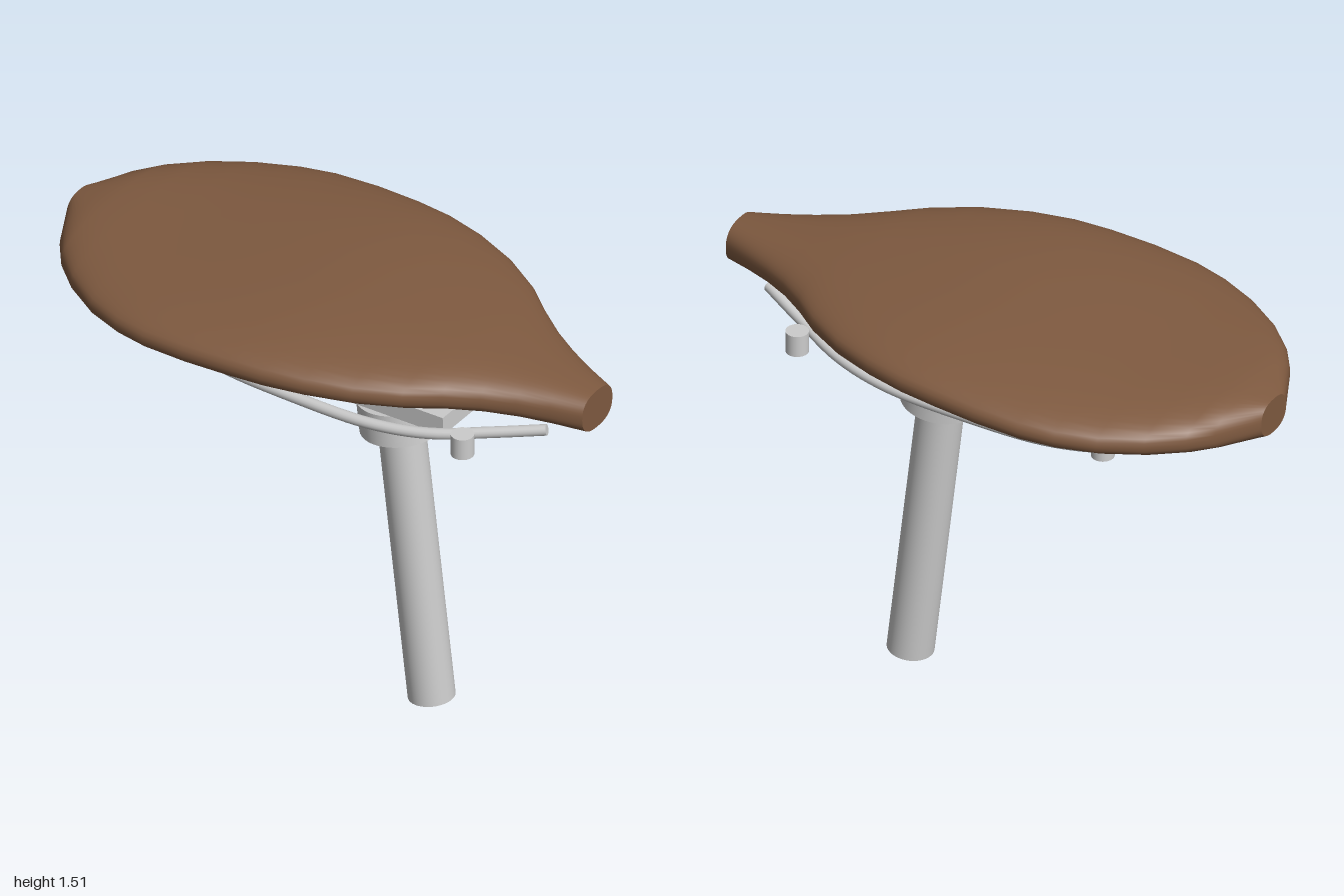
import * as THREE from 'three';

const leather = new THREE.MeshStandardMaterial({ color: 0x7f5a40 });
leather.name = 'brown leather';
const metal = new THREE.MeshStandardMaterial({ color: 0xcccccc });
metal.name = 'light metal';

// Cushion stations along x: x, half width, bottom y, top y
const STATIONS = [
  [-1, 0.075, 1.31, 1.435], [-0.92, 0.23, 1.307, 1.455], [-0.86, 0.31, 1.306, 1.463],
  [-0.76, 0.4, 1.305, 1.47], [-0.63, 0.48, 1.306, 1.475], [-0.5, 0.53, 1.309, 1.483],
  [-0.38, 0.555, 1.313, 1.491], [-0.22, 0.562, 1.318, 1.501], [-0.06, 0.555, 1.323, 1.508],
  [0.07, 0.542, 1.326, 1.509], [0.21, 0.51, 1.328, 1.505], [0.36, 0.455, 1.327, 1.496],
  [0.5, 0.375, 1.323, 1.486], [0.6, 0.295, 1.319, 1.477], [0.7, 0.225, 1.313, 1.465],
  [0.8, 0.17, 1.306, 1.453], [0.9, 0.125, 1.298, 1.441], [1, 0.085, 1.29, 1.43],
];

// Rounded cross-section lofted through the stations, closed by flat ends
function cushionGeometry(sides = 48) {
  const pos = [], index = [];
  const power = (v) => Math.sign(v) * Math.abs(v) ** (2 / 2.5);
  const ring = ([x, half, low, high]) => {
    const start = pos.length / 3;
    for (let j = 0; j < sides; j++) {
      const a = (j / sides) * Math.PI * 2;
      pos.push(x, (low + high) / 2 + ((high - low) / 2) * power(Math.sin(a)), half * power(Math.cos(a)));
    }
    return start;
  };
  const starts = STATIONS.map(ring);
  for (let i = 0; i < starts.length - 1; i++) {
    for (let j = 0; j < sides; j++) {
      const k = (j + 1) % sides;
      const a = starts[i] + j, b = starts[i] + k, c = starts[i + 1] + j, d = starts[i + 1] + k;
      index.push(a, c, b, b, c, d);
    }
  }
  const back = ring(STATIONS[0]), nose = ring(STATIONS[STATIONS.length - 1]);
  for (let j = 1; j < sides - 1; j++) {
    index.push(back, back + j, back + j + 1, nose, nose + j + 1, nose + j);
  }
  const geo = new THREE.BufferGeometry();
  geo.setAttribute('position', new THREE.Float32BufferAttribute(pos, 3));
  geo.setIndex(index);
  geo.computeVertexNormals();
  return geo;
}

export function createModel() {
  const model = new THREE.Group();
  model.name = 'bicycleSaddle';
  const add = (name, geo, mat, x = 0, y = 0, z = 0, parent = model) => {
    const mesh = new THREE.Mesh(geo, mat);
    mesh.name = name;
    mesh.position.set(x, y, z);
    parent.add(mesh);
    return mesh;
  };

  add('cushion', cushionGeometry(), leather);

  // Bowed rails with capped ends, and their mounting studs
  for (const side of [1, -1]) {
    const name = side > 0 ? 'front' : 'back';
    const path = new THREE.CatmullRomCurve3([
      [-0.79, 1.258, 0.115], [-0.65, 1.227, 0.166], [-0.5, 1.196, 0.216], [-0.3, 1.173, 0.25],
      [0, 1.165, 0.257], [0.3, 1.171, 0.25], [0.5, 1.189, 0.21], [0.68, 1.222, 0.138], [0.85, 1.256, 0.065],
    ].map(([x, y, z]) => new THREE.Vector3(x, y, z * side)));
    add(name + 'Rail', new THREE.TubeGeometry(path, 48, 0.019, 16), metal);
    for (const t of [0, 1]) {
      const p = path.getPoint(t);
      const cap = add(name + 'RailEnd', new THREE.CircleGeometry(0.019, 16), metal, p.x, p.y, p.z);
      cap.lookAt(p.clone().addScaledVector(path.getTangent(t), t ? 1 : -1));
    }
    for (const x of [-0.505, 0.64]) {
      add(name + 'Stud', new THREE.CylinderGeometry(0.038, 0.038, 0.076, 24), metal, x, 1.217, 0.235 * side);
    }
  }

  // Clamp plate, tilted slightly
  const plate = add('clampPlate', new THREE.BoxGeometry(0.53, 0.065, 0.252), metal, 0.225, 1.156, 0);
  plate.rotation.z = 0.028;

  // Leaning post and collar share one axis
  const post = new THREE.Group();
  post.name = 'seatPost';
  post.position.set(0.36, 0.009, 0);
  post.rotation.z = 0.117;
  model.add(post);
  add('postTube', new THREE.CylinderGeometry(0.077, 0.077, 1.06, 40), metal, 0, 0.53, 0, post);
  add('collar', new THREE.CylinderGeometry(0.135, 0.135, 0.116, 40), metal, 0, 1.056, 0, post);

  return model;
}
